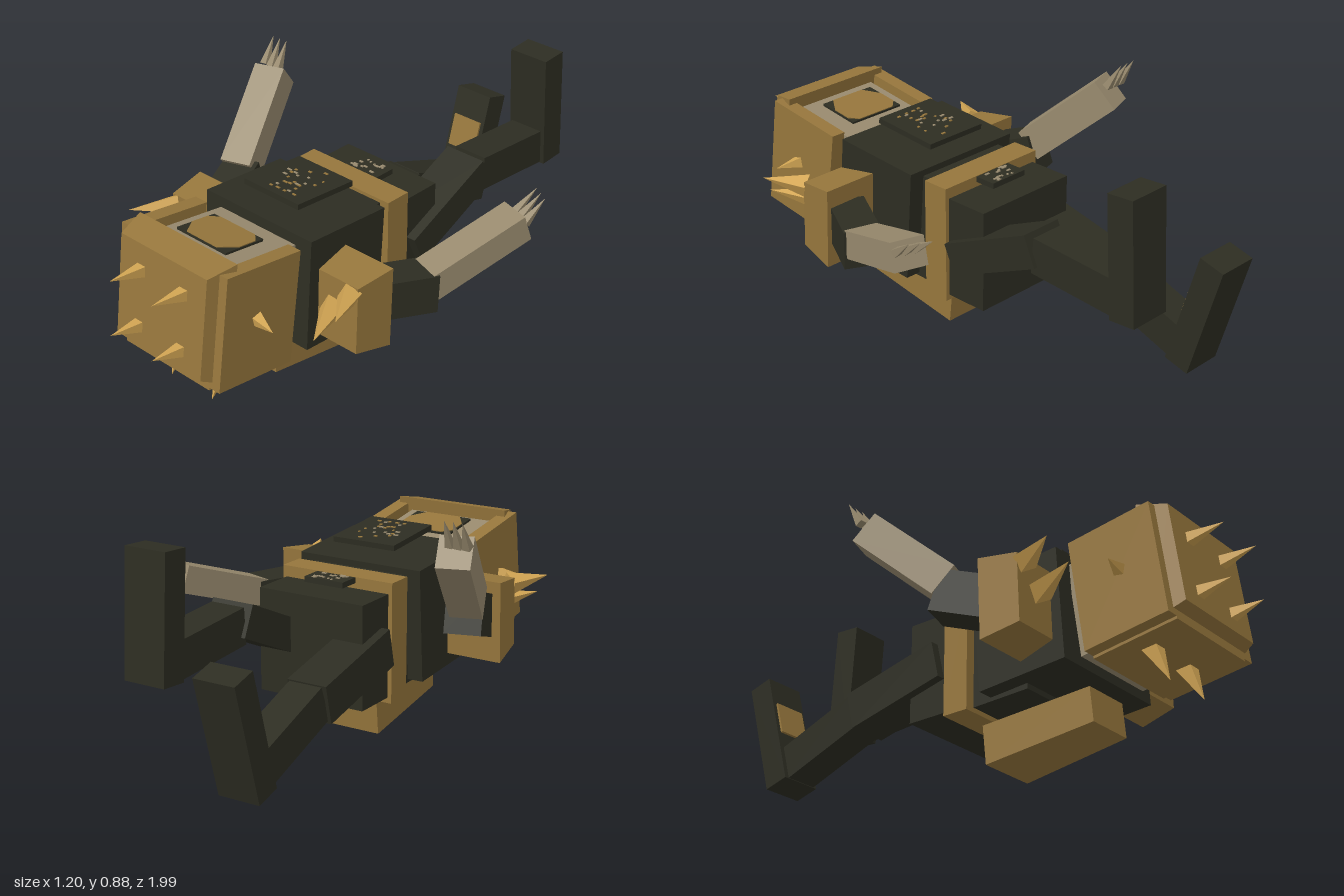
import * as THREE from 'three';

const mat = (name, color) => {
  const m = new THREE.MeshStandardMaterial({ color });
  m.name = name;
  return m;
};

export function createModel() {
  const root = new THREE.Group();
  root.name = 'armouredCrawler';
  const gold = mat('armourGold', 0x96763c);
  const horn = mat('spikeGold', 0xd2a553);
  const dark = mat('darkCloth', 0x2d2d22);
  const skin = mat('skin', 0x988a6e);
  const CX = -0.02; // body centre line
  const V = (a) => new THREE.Vector3(...a);

  const add = (parent, name, geo, material, p = [0, 0, 0]) => {
    const m = new THREE.Mesh(geo, material);
    m.name = name;
    m.position.set(...p);
    parent.add(m);
    return m;
  };
  const box = (parent, name, s, p, material, tilt = 0) => {
    const m = add(parent, name, new THREE.BoxGeometry(...s), material, p);
    m.rotation.x = tilt;
    return m;
  };
  // Box whose +z end is scaled by kx, ky
  const taper = (w, h, d, kx, ky) => {
    const g = new THREE.BoxGeometry(w, h, d);
    const p = g.attributes.position;
    for (let i = 0; i < p.count; i++) {
      if (p.getZ(i) > 0) p.setXY(i, p.getX(i) * kx, p.getY(i) * ky);
    }
    g.computeVertexNormals();
    return g;
  };
  // Box running from a to b
  const limb = (name, a, b, w, h, material) => {
    const A = V(a), B = V(b);
    const m = add(root, name, new THREE.BoxGeometry(w, h, A.distanceTo(B)), material);
    m.position.copy(A).add(B).multiplyScalar(0.5);
    m.lookAt(B);
    return m;
  };
  // Four-sided spike from base to tip
  const spike = (name, a, b, width, material = horn) => {
    const A = V(a), B = V(b), h = A.distanceTo(B);
    const g = new THREE.ConeGeometry(width * 0.707, h, 4, 1).toNonIndexed();
    g.rotateY(Math.PI / 4);
    g.computeVertexNormals();
    const m = add(root, name, g, material);
    m.position.copy(A).add(B).multiplyScalar(0.5);
    m.quaternion.setFromUnitVectors(new THREE.Vector3(0, 1, 0), B.sub(A).normalize());
  };

  // Trunk
  box(root, 'torso', [0.49, 0.41, 0.35], [CX, 0.42, 0.262], dark, -0.07);
  box(root, 'abdomen', [0.37, 0.4, 0.26], [CX, 0.39, 0.12], dark, -0.03);
  box(root, 'belt', [0.445, 0.43, 0.1], [CX, 0.385, -0.022], gold);
  box(root, 'pelvis', [0.415, 0.37, 0.18], [CX, 0.375, -0.145], dark);
  const loin = add(root, 'bellyPlate', taper(0.225, 0.145, 0.43, 0.82, 0.88), gold, [CX, 0.1, 0.23]);
  loin.rotation.x = -0.1;

  // Raised back patches with worn specks
  let seed = 7;
  const rnd = () => (seed = (seed * 16807) % 2147483647) / 2147483647;
  const patch = (name, w, d, p, tilt, n, mats) => {
    const g = new THREE.Group();
    g.name = name;
    g.position.set(...p);
    g.rotation.x = tilt;
    root.add(g);
    box(g, name + 'Plate', [w, 0.02, d], [0, 0, 0], dark);
    for (let i = 0; i < n; i++) {
      const s = 0.006 + rnd() * 0.014;
      box(g, name + 'Speck', [s, 0.004, 0.008],
        [(rnd() - 0.5) * w * 0.65, 0.011, (rnd() - 0.5) * d * 0.85], mats[i % mats.length]);
    }
  };
  patch('backPatch', 0.25, 0.26, [CX, 0.68, 0.23], -0.08, 26, [gold, skin, gold]);
  patch('hipPatch', 0.155, 0.08, [CX, 0.59, -0.115], 0, 16, [skin]);

  // Head and helmet, tipped slightly upward
  const head = new THREE.Group();
  head.name = 'head';
  head.position.set(CX, 0.45, 0.66);
  head.rotation.x = -0.14;
  root.add(head);
  box(head, 'skull', [0.35, 0.35, 0.34], [0, 0.005, -0.05], skin);
  for (const s of [-1, 1]) {
    box(head, 'helmetSide', [0.055, 0.41, 0.32], [s * 0.219, 0, 0], gold);
  }
  box(head, 'helmetBack', [0.4, 0.05, 0.32], [0, -0.19, 0], gold);
  add(head, 'helmetCrown', taper(0.455, 0.43, 0.1, 0.88, 0.84), gold, [0, 0.015, 0.152]);
  box(head, 'visorRim', [0.23, 0.008, 0.165], [0, 0.2, -0.04], dark);
  const oct = new THREE.Shape();
  [[-0.07, -0.08], [0.07, -0.08], [0.112, -0.02], [0.112, 0.05], [0.08, 0.08], [-0.08, 0.08], [-0.112, 0.05], [-0.112, -0.02]]
    .forEach(([x, y], i) => (i ? oct.lineTo(x, y) : oct.moveTo(x, y)));
  const visor = add(head, 'visor', new THREE.ExtrudeGeometry(oct, { depth: 0.004, bevelEnabled: false }), gold, [0, 0.203, -0.04]);
  visor.rotation.x = -Math.PI / 2;

  // Helmet spikes
  for (const s of [-1, 1]) {
    const x = CX + s * 0.099;
    spike('crownSpike', [x, 0.575, 0.80], [x, 0.6, 0.975], 0.05);
    spike('crownSpike', [x, 0.375, 0.83], [x, 0.4, 0.99], 0.05);
    spike('napeSpike', [x, 0.245, 0.69], [x, 0.115, 0.75], 0.055);
    spike('templeSpike', [CX + s * 0.235, 0.468, 0.67], [CX + s * 0.335, 0.465, 0.69], 0.04);

    // Shoulder guards
    add(root, 'shoulderGuard', taper(0.21, 0.295, 0.145, 0.82, 0.84), gold,
      [CX + s * 0.352, 0.412, 0.343]).rotation.x = -0.04;
    spike('shoulderSpike', [CX + s * 0.41, 0.51, 0.42], [CX + s * 0.49, 0.52, 0.57], 0.06);
    spike('shoulderSpike', [CX + s * 0.335, 0.43, 0.42], [CX + s * 0.432, 0.44, 0.61], 0.065);
  }

  // Right arm, raised
  limb('rightUpperArm', [-0.37, 0.42, 0.29], [-0.435, 0.49, 0.08], 0.13, 0.15, dark);
  limb('rightForearm', [-0.435, 0.52, 0.11], [-0.53, 0.77, -0.165], 0.115, 0.12, skin);
  // Left arm, lowered
  limb('leftUpperArm', [0.335, 0.42, 0.29], [0.445, 0.41, 0.08], 0.13, 0.14, dark);
  limb('leftForearm', [0.435, 0.43, 0.1], [0.54, 0.55, -0.25], 0.12, 0.1, skin);
  // Claws
  for (let i = -1; i <= 1; i++) {
    spike('rightClaw', [-0.545 + i * 0.032, 0.79, -0.165], [-0.552 + i * 0.033, 0.885, -0.22], 0.028, skin);
    spike('leftClaw', [0.55 + i * 0.032, 0.565, -0.245 + i * 0.012], [0.568 + i * 0.032, 0.632, -0.335 + i * 0.02], 0.028, skin);
  }

  // Left leg, foot turned up
  limb('leftThigh', [0.143, 0.355, -0.11], [0.143, 0.52, -0.475], 0.163, 0.115, dark);
  limb('leftShin', [0.143, 0.502, -0.475], [0.143, 0.478, -0.82], 0.132, 0.13, dark);
  limb('leftFoot', [0.146, 0.412, -0.867], [0.146, 0.843, -0.84], 0.158, 0.1, dark);
  // Right leg, foot turned down
  limb('rightThigh', [-0.185, 0.385, -0.1], [-0.185, 0.295, -0.49], 0.15, 0.14, dark);
  limb('rightShin', [-0.185, 0.3, -0.49], [-0.185, 0.175, -0.83], 0.125, 0.13, dark);
  limb('rightFoot', [-0.187, 0.105, -0.837], [-0.187, 0.522, -0.953], 0.156, 0.096, dark);
  limb('rightFootPatch', [-0.187, 0.31, -0.84], [-0.187, 0.43, -0.874], 0.125, 0.009, gold);

  return root;
}
